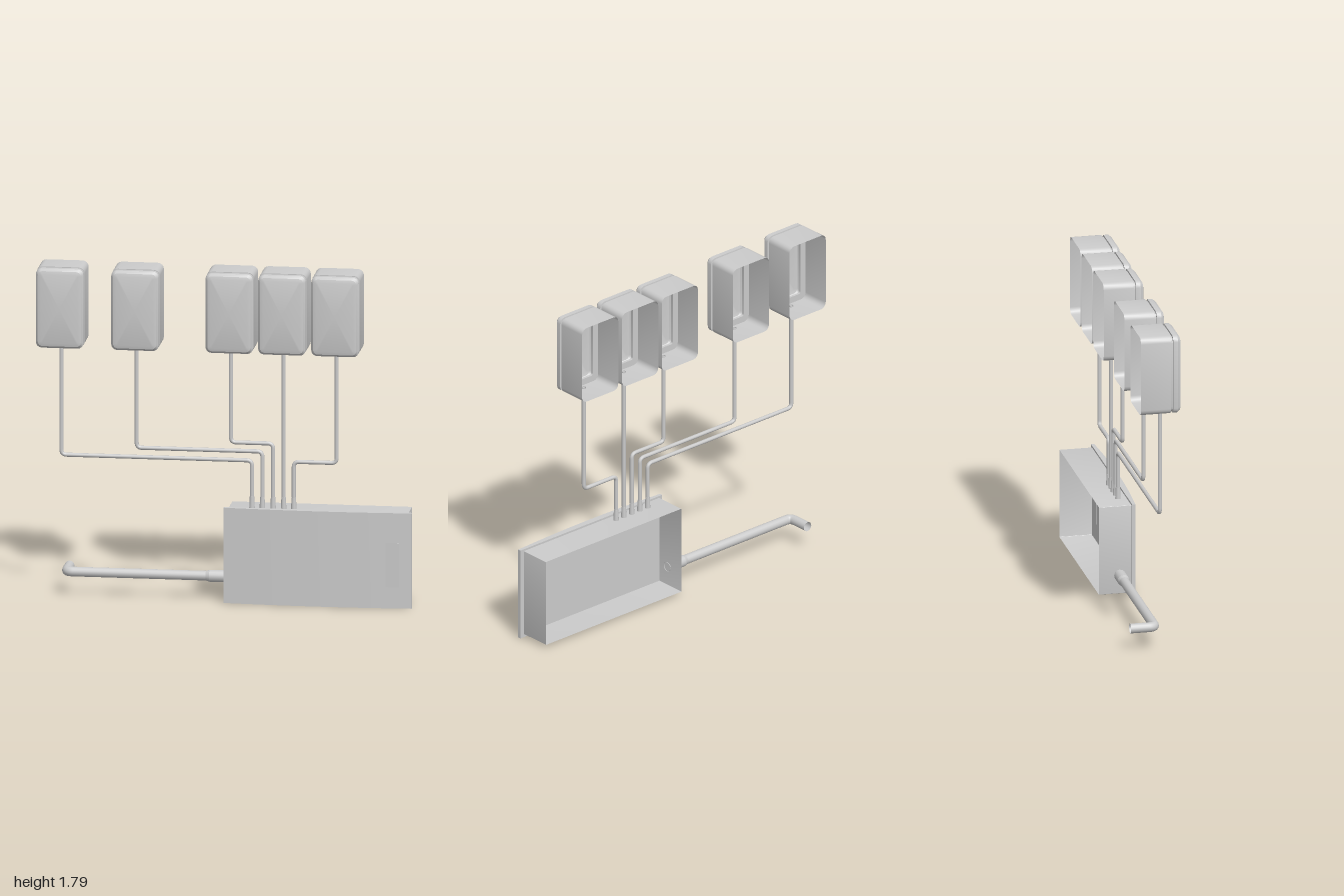
import * as THREE from 'three';
import { toCreasedNormals } from 'three/addons/utils/BufferGeometryUtils.js';

const material = new THREE.MeshStandardMaterial({ color: 0xcccccc, side: THREE.DoubleSide });

function add(parent, name, geometry, x = 0, y = 0, z = 0) {
  const mesh = new THREE.Mesh(geometry, material);
  mesh.name = name;
  mesh.position.set(x, y, z);
  parent.add(mesh);
  return mesh;
}

// Points of a rounded rectangle, counter-clockwise seen from +z
function ring(w, h, r, z, steps = 4) {
  const points = [];
  const corners = [[1, 1], [-1, 1], [-1, -1], [1, -1]];
  corners.forEach(([sx, sy], c) => {
    for (let i = 0; i <= steps; i++) {
      const a = (c + i / steps) * Math.PI / 2;
      points.push([sx * (w / 2 - r) + r * Math.cos(a), sy * (h / 2 - r) + r * Math.sin(a), z]);
    }
  });
  return points;
}

// Skin through rounded rectangles; profile is a list of [inset, z] from back to front
function loft(w, h, r, profile, cap) {
  const rings = profile.map(([d, z]) => ring(w - 2 * d, h - 2 * d, Math.max(r - d * 0.6, 0.002), z));
  const n = rings[0].length, position = rings.flat(2), index = [];
  for (let k = 0; k < rings.length - 1; k++) {
    for (let i = 0; i < n; i++) {
      const a = k * n + i, b = k * n + (i + 1) % n;
      index.push(a, b, b + n, a, b + n, a + n);
    }
  }
  if (cap) {
    const last = (rings.length - 1) * n;
    position.push(0, 0, profile[profile.length - 1][1]);
    for (let i = 0; i < n; i++) index.push(last + i, last + (i + 1) % n, rings.length * n);
  }
  const geometry = new THREE.BufferGeometry();
  geometry.setAttribute('position', new THREE.Float32BufferAttribute(position, 3));
  geometry.setIndex(index);
  return toCreasedNormals(geometry, 0.5);
}

// Straight runs joined by rounded bends
function pipe(points, radius, bend, sides) {
  const p = points.map((v) => new THREE.Vector3(...v));
  const path = new THREE.CurvePath();
  let from = p[0];
  for (let i = 1; i < p.length - 1; i++) {
    const a = p[i].clone().add(p[i - 1].clone().sub(p[i]).setLength(bend));
    const b = p[i].clone().add(p[i + 1].clone().sub(p[i]).setLength(bend));
    path.add(new THREE.LineCurve3(from, a));
    path.add(new THREE.QuadraticBezierCurve3(a, p[i], b));
    from = b;
  }
  path.add(new THREE.LineCurve3(from, p[p.length - 1]));
  return new THREE.TubeGeometry(path, p.length > 2 ? 180 : 1, radius, sides, false);
}

// Wall box, open at the back, with a stepped front cover
function createWallBox(x) {
  const box = new THREE.Group();
  box.name = 'wallBox';
  box.position.set(x, 1.57, 0);
  const w = 0.255, h = 0.432, r = 0.032;
  add(box, 'boxShell', loft(w, h, r, [[0, -0.1], [0, 0.062], [0.01, 0.062], [0.01, 0.075]], false));
  add(box, 'boxInnerRim', loft(w, h, r, [[0, 0.06], [0.035, 0.06], [0.035, 0.075]], false));
  add(box, 'boxCover', loft(w, h, r,
    [[0.01, 0.074], [0.001, 0.075], [0.001, 0.1], [0.013, 0.115], [0.03, 0.12]], true));
  return box;
}

// Recessed cabinet, open at the back, with a gently bowed front panel
function createCabinet() {
  const cabinet = new THREE.Group();
  cabinet.name = 'cabinet';
  add(cabinet, 'cabinetShell', loft(0.955, 0.487, 0.002, [[0, -0.1], [0, 0.076]], false), 0.495, 0.262, 0);

  const section = new THREE.Shape();
  section.moveTo(-0.5, -0.075);
  section.lineTo(0.5, -0.075);
  section.lineTo(0.5, -0.092);
  section.quadraticCurveTo(0, -0.128, -0.5, -0.092);
  section.closePath();
  const panel = new THREE.ExtrudeGeometry(section, { depth: 0.516, bevelEnabled: false, curveSegments: 20 });
  panel.rotateX(-Math.PI / 2);
  add(cabinet, 'frontPanel', toCreasedNormals(panel, 0.5), 0.497, 0, 0);

  add(cabinet, 'panelWindow', new THREE.BoxGeometry(0.07, 0.24, 0.03), 0.895, 0.235, 0.087);
  return cabinet;
}

export function createModel() {
  const model = new THREE.Group();
  model.name = 'distributionSystem';
  model.add(createCabinet());

  // One supply line per wall box: [box x, cabinet x, height of the cross run]
  const z = 0.03;
  const lines = [
    [-0.873, 0.14, 0.762],
    [-0.473, 0.195, 0.812],
    [0.028, 0.252, 0.857],
    [0.308, 0.308, 0],
    [0.59, 0.362, 0.762],
  ];
  for (const [top, bottom, cross] of lines) {
    model.add(createWallBox(top));
    const points = [[bottom, 0.5, z], [top, 1.36, z]];
    if (cross) points.splice(1, 0, [bottom, cross, z], [top, cross, z]);
    add(model, 'supplyPipe', pipe(points, 0.011, 0.028, 10));
    add(model, 'pipeSleeve', new THREE.CylinderGeometry(0.012, 0.015, 0.065, 12), bottom, 0.535, z);
  }

  // Large feed pipe leaving the cabinet side and turning to the back
  add(model, 'feedPipe', pipe([[0.02, 0.125, 0.01], [-0.85, 0.125, 0.01], [-0.85, 0.125, -0.125]], 0.026, 0.035, 16));
  const sleeve = add(model, 'feedSleeve', new THREE.CylinderGeometry(0.032, 0.032, 0.085, 16), -0.045, 0.125, 0.01);
  sleeve.rotation.z = Math.PI / 2;
  const taper = add(model, 'feedSleeveTaper', new THREE.CylinderGeometry(0.032, 0.026, 0.02, 16, 1, true), -0.097, 0.125, 0.01);
  taper.rotation.z = -Math.PI / 2;
  return model;
}
